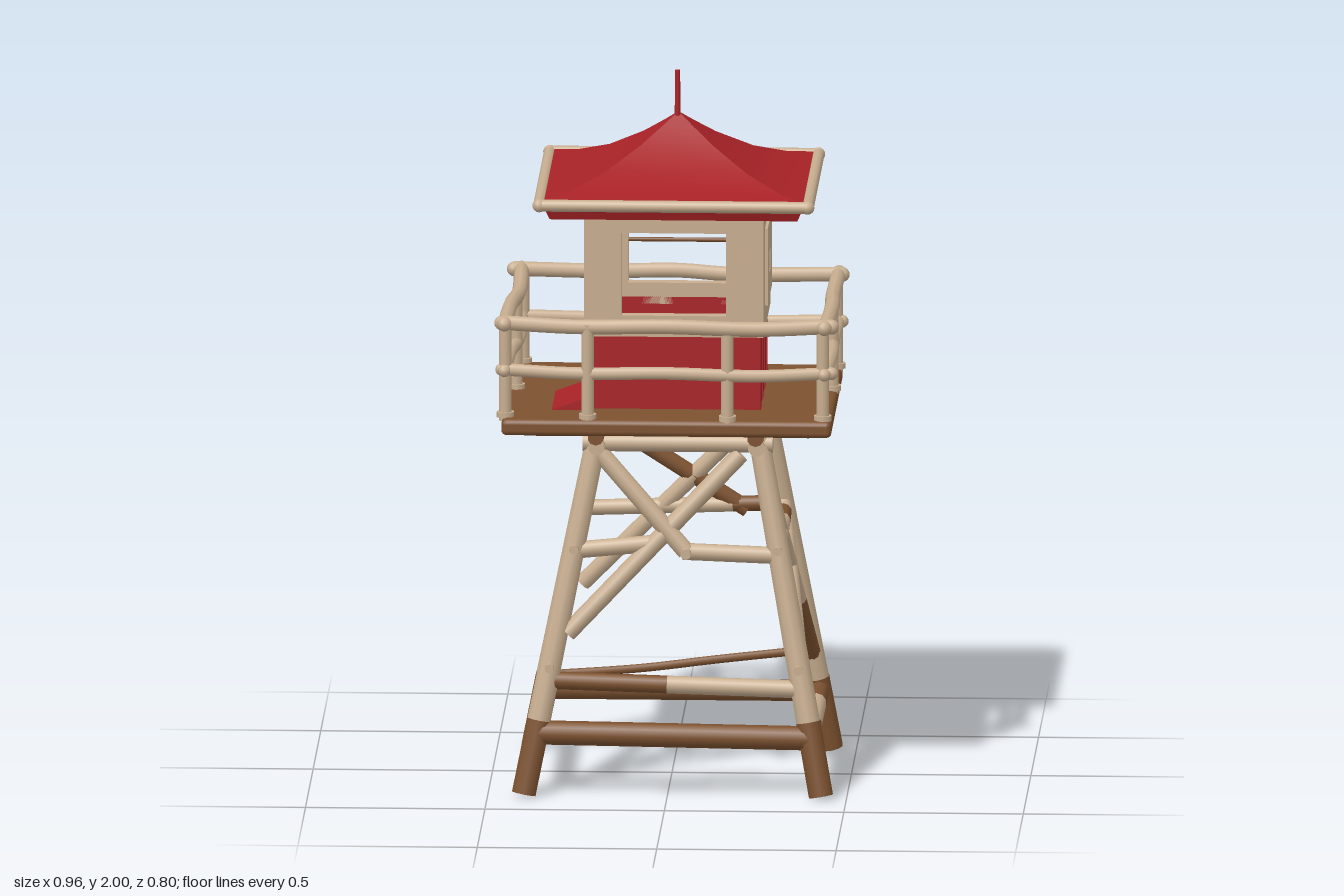
import * as THREE from 'three';
import { toCreasedNormals } from 'three/addons/utils/BufferGeometryUtils.js';
import { RoundedBoxGeometry } from 'three/addons/geometries/RoundedBoxGeometry.js';

const material = (name, color) => Object.assign(new THREE.MeshStandardMaterial({ color }), { name });

export function createModel() {
  const cream = material('cream paint', 0xc8ae90);
  const brown = material('bare wood', 0x7d5230);
  const red = material('red paint', 0xa82226);
  const model = new THREE.Group();
  model.name = 'lookoutTower';

  const V = (x, y, z) => new THREE.Vector3(x, y, z);
  const add = (name, geo, mat) => {
    const mesh = new THREE.Mesh(geo, mat);
    mesh.name = name;
    model.add(mesh);
    return mesh;
  };
  // Round timber between two points
  const bar = (name, a, b, r, mat, r2 = r) => {
    const mesh = add(name, new THREE.CylinderGeometry(r2, r, a.distanceTo(b), 10), mat);
    mesh.position.copy(a).lerp(b, 0.5);
    mesh.quaternion.setFromUnitVectors(V(0, 1, 0), b.clone().sub(a).normalize());
    return mesh;
  };
  // Timber with bare and painted lengths; stops are fractions along it
  const patchedBar = (name, a, b, r, stops, mats) => {
    for (let i = 0; i < mats.length; i++) {
      bar(name, a.clone().lerp(b, stops[i]), a.clone().lerp(b, stops[i + 1]), r, mats[i]);
    }
  };
  // Box given by its minimum and maximum corners
  const box = (name, x0, x1, y0, y1, z0, z1, mat, round = 0) => {
    const s = [x1 - x0, y1 - y0, z1 - z0];
    const geo = round ? new RoundedBoxGeometry(...s, 2, round) : new THREE.BoxGeometry(...s);
    const mesh = add(name, geo, mat);
    mesh.position.set((x0 + x1) / 2, (y0 + y1) / 2, (z0 + z1) / 2);
    return mesh;
  };
  const path = (name, pts, r, mat) => add(name,
    new THREE.TubeGeometry(new THREE.CatmullRomCurve3(pts), 24, r, 8), mat);

  // Splayed legs: centre of a leg at height y
  const leg = (sx, sz, y) => {
    const t = y / 1.0;
    const x = sx < 0 ? -0.4 + 0.2 * t : 0.43 - 0.18 * t;
    const z = sz < 0 ? -0.315 + 0.125 * t : 0.33 - 0.135 * t;
    return V(x, y, z);
  };
  for (const sx of [-1, 1]) for (const sz of [-1, 1]) {
    bar('legFoot', leg(sx, sz, 0.005), leg(sx, sz, 0.21), 0.035, brown);
    bar('leg', leg(sx, sz, 0.21), leg(sx, sz, 1.0), 0.034, cream, 0.03);
    for (const y of [0.36, 0.69]) {
      const p = leg(sx, sz, y);
      bar('bolt', p, V(p.x, p.y, p.z + sz * 0.045), 0.013, cream);
    }
  }

  // Bottom ring of rails
  const [FL, FR, BL, BR] = [[-1, 1], [1, 1], [-1, -1], [1, -1]];
  const at = (c, y) => leg(c[0], c[1], y);
  bar('bottomRailFront', at(FL, 0.175), at(FR, 0.165), 0.034, brown);
  bar('bottomRailBack', at(BL, 0.17), at(BR, 0.17), 0.03, brown);
  patchedBar('bottomRailSide', at(FR, 0.18), at(BR, 0.175), 0.028, [0, 0.2, 0.68, 1], [brown, cream, brown]);
  patchedBar('bottomRailSide', at(FL, 0.18), at(BL, 0.175), 0.028, [0, 0.75, 1], [cream, brown]);
  patchedBar('lowerRailFront', at(FL, 0.32), at(FR, 0.3), 0.025, [0, 0.47, 1], [brown, cream]);
  path('bentRailBack', [at(BL, 0.21), V(-0.1, 0.23, -0.29), V(0.12, 0.26, -0.28), at(BR, 0.29)], 0.012, brown);

  // Middle rails and cross braces
  bar('middleRailFront', at(FL, 0.68), V(-0.04, 0.7, 0.23), 0.024, cream);
  bar('middleRailFront', V(0.04, 0.68, 0.24), at(FR, 0.67), 0.024, cream);
  bar('braceFront', V(0.2, 0.95, 0.2), V(-0.28, 0.45, 0.27), 0.025, cream);
  bar('braceFront', V(-0.19, 0.95, 0.205), V(0.05, 0.68, 0.245), 0.025, cream);
  bar('bolt', V(0.05, 0.68, 0.22), V(0.05, 0.68, 0.285), 0.015, cream);
  patchedBar('middleRailBack', at(BL, 0.7), at(BR, 0.72), 0.022, [0, 0.75, 1], [cream, brown]);
  bar('braceBack', V(-0.18, 0.95, -0.2), V(0.2, 0.7, -0.23), 0.024, brown);
  bar('braceBack', V(0.2, 0.95, -0.2), V(-0.26, 0.48, -0.255), 0.024, cream);
  for (const c of [-1, 1]) {
    const side = (y, z) => V(leg(c, 1, y).x, y, z);
    patchedBar('middleRailSide', side(0.69, 0.25), side(0.71, -0.24), 0.024, [0, 0.65, 0.85, 1], [cream, brown, cream]);
    patchedBar('braceSide', side(0.87, 0.19), side(0.28, -0.27), 0.025, [0, 0.68, 1], [cream, brown]);
    bar('braceSide', side(0.33, 0.27), side(0.72, -0.2), 0.025, cream);
  }

  // Beams below the deck
  for (const z of [-0.2, 0.2]) {
    bar('headBeam', V(-0.24, 0.98, z), V(0.29, 0.98, z), 0.025, cream);
    bar('deckBeam', V(-0.37, 1.02, z), V(0.39, 1.02, z), 0.023, brown);
  }
  for (const x of [-0.2, 0.245]) {
    bar('headBeam', V(x, 0.975, -0.24), V(x, 0.975, 0.24), 0.024, cream);
    bar('deckBeam', V(x, 1.015, -0.3), V(x, 1.015, 0.3), 0.023, brown);
  }

  // Deck
  box('deck', -0.46, 0.46, 1.035, 1.082, -0.385, 0.385, brown, 0.015);
  box('deckUnderside', -0.15, 0.2, 1.028, 1.036, -0.15, 0.15, red);
  const wedge = new THREE.Shape([new THREE.Vector2(-0.33, 1.08), new THREE.Vector2(-0.22, 1.08), new THREE.Vector2(-0.22, 1.12)]);
  add('redWedge', new THREE.ExtrudeGeometry(wedge, { depth: 0.25, bevelEnabled: false }), red);

  // Railing: slightly uneven rails at two heights, with posts
  const rails = [
    [[-0.46, 0.335], [-0.25, 0.35], [0, 0.37], [0.25, 0.365], [0.46, 0.35]],
    [[-0.455, -0.37], [-0.2, -0.382], [0, -0.368], [0.15, -0.355], [0.46, -0.335]],
    [[-0.435, -0.38], [-0.43, -0.1], [-0.445, 0.1], [-0.452, 0.35]],
    [[0.45, -0.36], [0.445, -0.1], [0.45, 0.1], [0.44, 0.37]],
  ];
  for (const rail of rails) for (const [y, r] of [[1.345, 0.021], [1.212, 0.018]]) {
    path('handrail', rail.map(([x, z], i) => V(x, y + (i % 2 ? -0.004 : 0.003), z)), r, cream);
    for (const [x, z] of [rail[0], rail[rail.length - 1]]) {
      const cap = add('railEnd', new THREE.SphereGeometry(r, 10, 8), cream);
      cap.position.set(x, y + 0.002, z);
    }
  }
  for (const [x, z] of [[-0.45, 0.335], [-0.22, 0.355], [0.17, 0.365], [0.435, 0.35], [-0.43, -0.37],
    [-0.2, -0.38], [0.17, -0.355], [0.445, -0.34], [-0.435, -0.03], [0.445, -0.05]]) {
    bar('railPost', V(x, 1.07, z), V(x, 1.35, z), 0.018, cream);
    bar('postFoot', V(x, 1.08, z), V(x, 1.095, z), 0.025, cream);
  }

  // Cabin: red boarded base
  const [X0, X1, Z0, Z1] = [-0.235, 0.265, -0.228, 0.238];
  const n = 10;
  for (let i = 0; i < n; i++) {
    const inset = 0.008 + 0.004 * ((i * 7) % 3) / 2;
    const bx = X0 + 0.01 + (X1 - X0 - 0.02) * i / n, wx = (X1 - X0 - 0.02) / n;
    const bz = Z0 + 0.01 + (Z1 - Z0 - 0.02) * i / n, wz = (Z1 - Z0 - 0.02) / n;
    box('baseBoard', bx, bx + wx, 1.07, 1.31, Z1 - 0.035, Z1 - inset, red);
    box('baseBoard', bx, bx + wx, 1.07, 1.31, Z0 + inset, Z0 + 0.035, red);
    box('baseBoard', X0 + inset, X0 + 0.035, 1.07, 1.31, bz, bz + wz, red);
    box('baseBoard', X1 - 0.035, X1 - inset, 1.07, 1.31, bz, bz + wz, red);
  }
  box('innerLining', X0 + 0.035, X1 - 0.035, 1.08, 1.34, Z1 - 0.041, Z1 - 0.035, brown);
  box('innerLining', X1 - 0.041, X1 - 0.035, 1.08, 1.34, Z0 + 0.035, Z1 - 0.035, brown);

  // Cabin: cream upper walls with window openings
  const panel = (name, w, y0, y1, hole, depth) => {
    const rect = (S, a, b, c, d) => new S([[a, c], [b, c], [b, d], [a, d]].map((p) => new THREE.Vector2(...p)));
    const shape = rect(THREE.Shape, -w / 2, w / 2, y0, y1);
    shape.holes.push(rect(THREE.Path, ...hole));
    return add(name, new THREE.ExtrudeGeometry(shape, { depth, bevelEnabled: false }), cream);
  };
  const cx = (X0 + X1) / 2, cz = (Z0 + Z1) / 2, T = 0.035;
  const big = [-0.145, 0.145, 1.35, 1.585];
  const small = [-0.035, 0.04, 1.43, 1.49];
  panel('frontWall', X1 - X0, 1.29, 1.66, big, T).position.set(cx, 0, Z1 - T);
  panel('backWall', X1 - X0, 1.29, 1.66, big, T).position.set(cx, 0, Z0);
  panel('rightWall', Z1 - Z0 - 2 * T, 1.29, 1.66, [-0.135, 0.135, 1.35, 1.585], T)
    .position.set(X0, 0, cz);
  model.children.at(-1).rotation.y = Math.PI / 2;
  const leftWall = panel('leftWall', Z1 - Z0 - 2 * T, 1.29, 1.66, small, T);
  leftWall.position.set(X1 - T, 0, cz);
  leftWall.rotation.y = Math.PI / 2;
  const shutter = panel('leftShutter', 0.27, 1.36, 1.58, small, 0.008);
  shutter.position.set(X1, 0, cz);
  shutter.rotation.y = Math.PI / 2;

  // Thin window bars
  for (const y of [1.47, 1.525]) {
    bar('windowBar', V(cx - 0.15, y, Z0 + 0.018), V(cx + 0.15, y, Z0 + 0.018), 0.006, brown);
    bar('windowBar', V(X0 + 0.018, y, cz - 0.14), V(X0 + 0.018, y, cz + 0.14), 0.006, brown);
  }

  // Swept four-sided roof with closed underside
  const R = Math.SQRT2;
  const profile = [[0, 1.655], [0.345, 1.642], [0.355, 1.665], [0.375, 1.693], [0.3, 1.707], [0.2, 1.745],
    [0.1, 1.805], [0.04, 1.85], [0, 1.882]].map(([x, y]) => new THREE.Vector2(x * R, y));
  const roof = add('roof', toCreasedNormals(new THREE.LatheGeometry(profile, 4, Math.PI / 4), 0.2), red);
  roof.scale.z = 0.95;
  roof.position.x = 0.018;

  // Eave trim and roof spike
  const E = [[-0.355, 0.352], [0.393, 0.352], [0.393, -0.352], [-0.355, -0.352]];
  E.forEach(([x, z], i) => {
    const [x2, z2] = E[(i + 1) % 4];
    bar('eaveTrim', V(x, 1.686, z), V(x2, 1.686, z2), 0.017, cream);
    add('eaveCorner', new THREE.SphereGeometry(0.019, 10, 8), cream).position.set(x, 1.686, z);
  });
  bar('roofSpike', V(0.016, 1.86, 0.005), V(0.016, 2.0, 0.005), 0.009, red, 0.007);

  return model;
}
